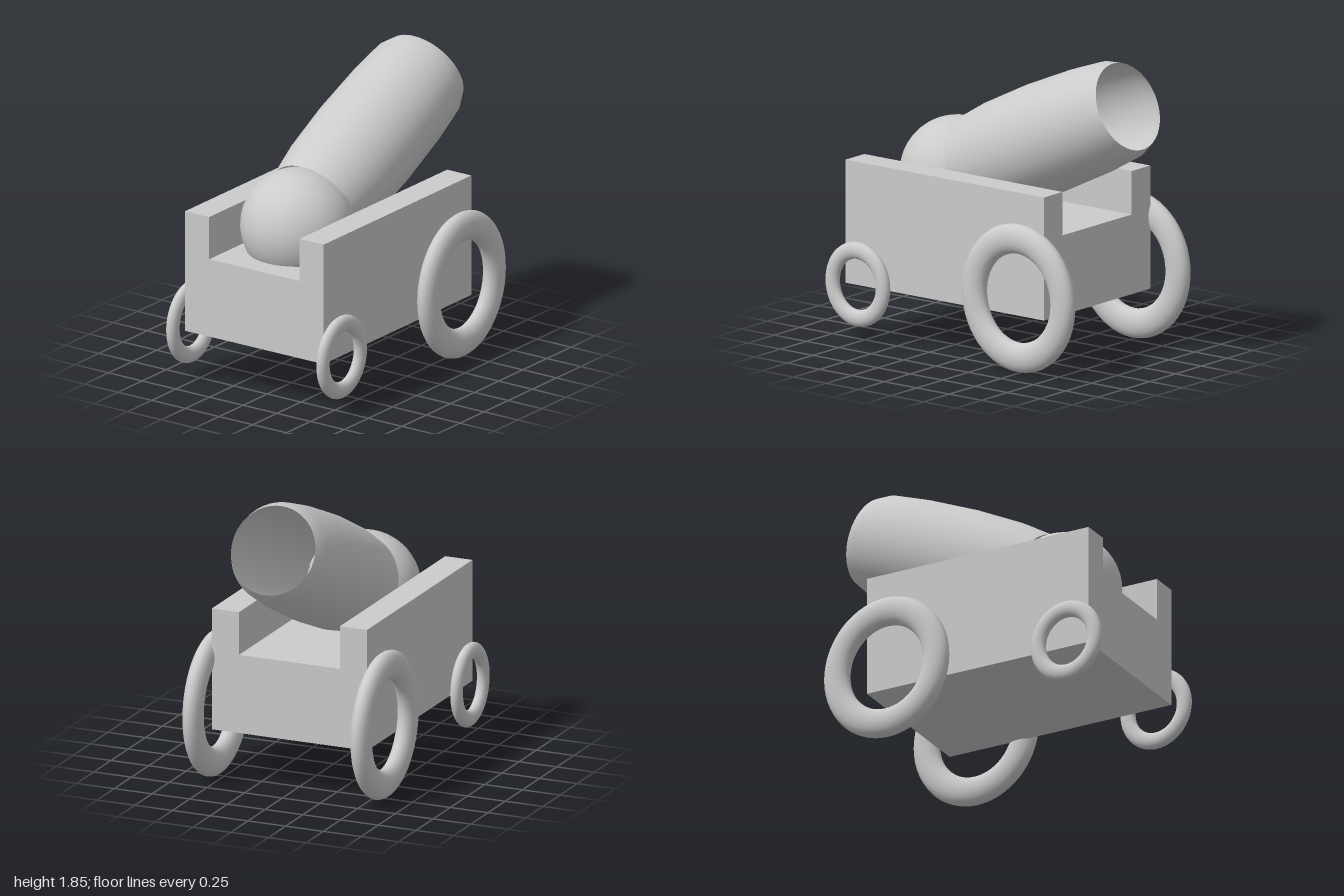
import * as THREE from 'three';

const grey = new THREE.MeshStandardMaterial({ color: 0xcccccc });
const shell = new THREE.MeshStandardMaterial({ color: 0xcccccc, side: THREE.DoubleSide });

function add(parent, name, geometry, material = grey) {
  const mesh = new THREE.Mesh(geometry, material);
  mesh.name = name;
  parent.add(mesh);
  return mesh;
}

export function createModel() {
  const model = new THREE.Group();
  model.name = 'cannon';

  // Carriage: a block with a channel along its top
  const section = new THREE.Shape([
    [-0.515, 0.34], [0.515, 0.34], [0.515, 1.105], [0.335, 1.105],
    [0.335, 0.835], [-0.335, 0.835], [-0.335, 1.105], [-0.515, 1.105],
  ].map(([x, y]) => new THREE.Vector2(x, y)));
  const block = new THREE.ExtrudeGeometry(section, { depth: 1.53, bevelEnabled: false });
  add(model, 'carriage', block).position.z = -0.645;

  // Ring wheels, slightly taller than wide
  const ring = new THREE.TorusGeometry(1, 0.25, 20, 56).rotateY(Math.PI / 2);
  for (const side of [1, -1]) {
    const label = side > 0 ? 'left' : 'right';
    const big = add(model, label + 'BackWheel', ring);
    big.position.set(side * 0.557, 0.463, -0.484);
    big.scale.set(0.24, 0.368, 0.341);
    const small = add(model, label + 'FrontWheel', ring);
    small.position.set(side * 0.557, 0.358, 0.757);
    small.scale.set(0.145, 0.21, 0.194);
  }

  // Tilted gun, its origin at the centre of the muzzle
  const gun = new THREE.Group();
  gun.name = 'gun';
  gun.position.set(0, 1.607, -0.882);
  gun.rotation.x = -1.138;
  model.add(gun);

  // Open hollow barrel, bulging in the middle
  const profile = [
    [0.303, -1.262], [0.331, -1.03], [0.342, -0.695],
    [0.332, -0.33], [0.311, -0.09], [0.275, 0],
  ].map(([r, y]) => new THREE.Vector2(r, y));
  add(gun, 'barrel', new THREE.LatheGeometry(profile, 48), shell);

  // Round breech behind the barrel
  add(gun, 'breech', new THREE.SphereGeometry(0.348, 48, 32)).position.y = -1.45;

  return model;
}
